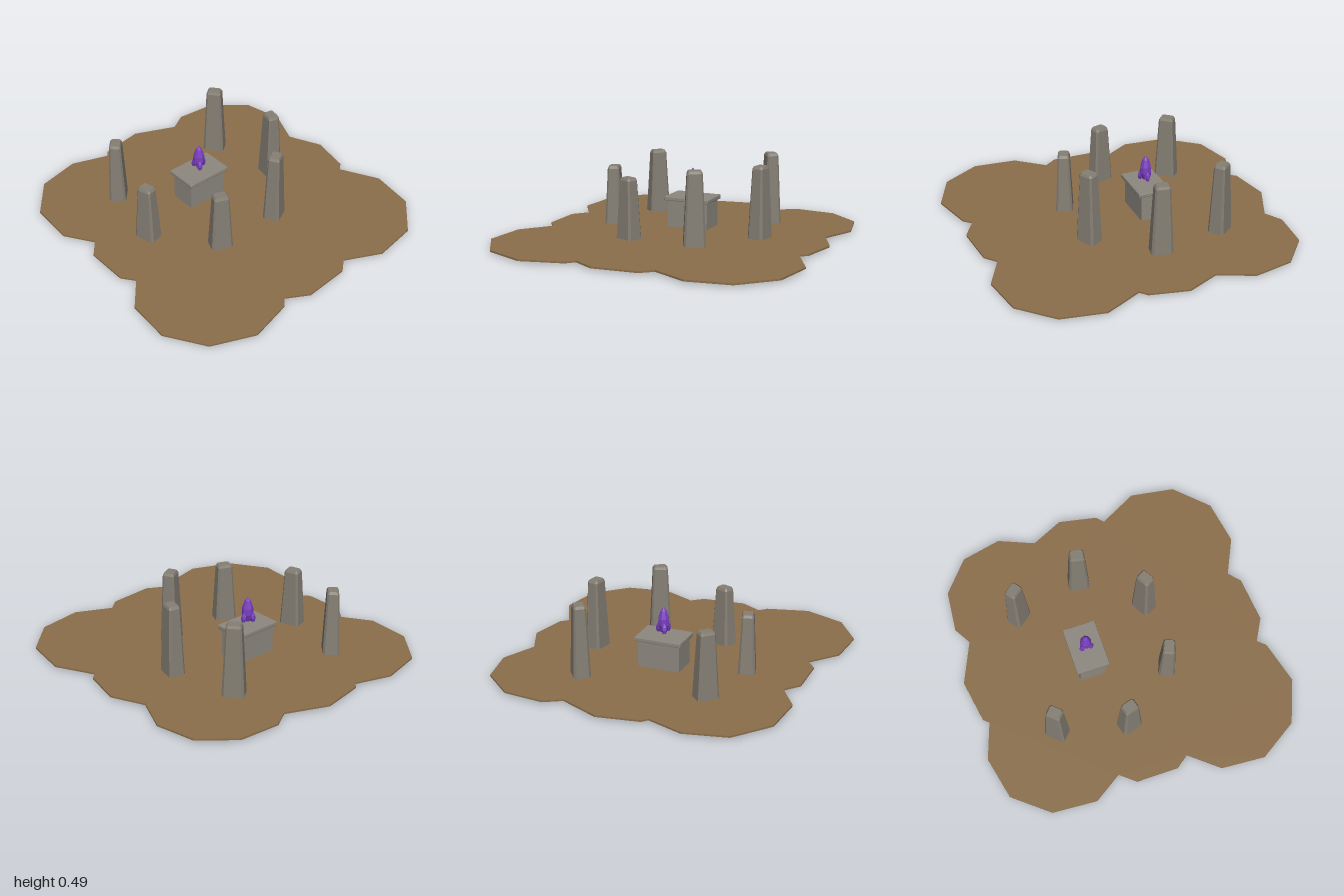
import * as THREE from 'three';

const mat = (name, color) => Object.assign(new THREE.MeshStandardMaterial({ color }), { name });

// Faceted copy of a geometry
function faceted(geometry) {
  const g = geometry.index ? geometry.toNonIndexed() : geometry;
  g.computeVertexNormals();
  return g;
}

// Tapered block with chamfered corners; levels = [y, scale] from bottom to top
function standingStone(length, width, chamfer, levels) {
  const rows = levels.length - 1;
  const g = new THREE.CylinderGeometry(1, 1, 1, 8, rows, false, Math.PI / 8);
  const p = g.attributes.position;
  for (let i = 0; i < p.count; i++) {
    const x = p.getX(i), z = p.getZ(i);
    const [y, s] = levels[Math.round((p.getY(i) + 0.5) * rows)];
    const centre = Math.hypot(x, z) < 0.1;
    const onEnd = Math.abs(x) > Math.abs(z);
    const hx = length / 2 - (onEnd ? 0 : chamfer);
    const hz = width / 2 - (onEnd ? chamfer : 0);
    p.setXYZ(i, centre ? 0 : Math.sign(x) * hx * s, y, centre ? 0 : Math.sign(z) * hz * s);
  }
  return faceted(g);
}

// Pointed crystal turned from a short profile
function crystalGeometry(radius, height, sides) {
  const profile = [[0, 0], [0.55, 0.02], [1, 0.3], [0.95, 0.55], [0.5, 0.85], [0, 1]];
  return faceted(new THREE.LatheGeometry(
    profile.map(([r, y]) => new THREE.Vector2(r * radius, y * height)), sides));
}

export function createModel() {
  const model = new THREE.Group();
  model.name = 'stoneCircle';
  const earth = mat('earth brown', 0x8b6f4b);
  const stone = mat('weathered stone', 0x857f74);
  const altarStone = mat('altar stone', 0x8d8980);
  const purple = mat('crystal purple', 0x7a3fc0);

  const add = (parent, name, geometry, material, x = 0, y = 0, z = 0) => {
    const mesh = new THREE.Mesh(geometry, material);
    mesh.name = name;
    mesh.position.set(x, y, z);
    parent.add(mesh);
    return mesh;
  };

  // Ground: thin slab with a scalloped outline, points as (x, z)
  const outline = [
    [-0.72, -0.94], [-0.45, -1], [-0.22, -0.92], [-0.19, -0.955], [0.08, -1], [0.34, -0.885],
    [0.45, -0.95], [0.71, -0.925], [0.91, -0.755], [0.965, -0.5], [0.87, -0.275], [0.965, -0.07],
    [0.915, 0.175], [0.87, 0.215], [0.995, 0.455], [0.95, 0.735], [0.75, 0.935], [0.47, 0.98],
    [0.245, 0.87], [0.17, 0.935], [-0.12, 0.96], [-0.26, 0.88], [-0.305, 0.93], [-0.58, 1],
    [-0.845, 0.89], [-0.995, 0.65], [-0.975, 0.37], [-0.825, 0.19], [-0.885, 0.11],
    [-0.885, -0.16], [-0.805, -0.255], [-0.92, -0.435], [-0.9, -0.72],
  ];
  const shape = new THREE.Shape(outline.map(([x, z]) => new THREE.Vector2(x, -z)));
  const ground = new THREE.ExtrudeGeometry(shape, { depth: 0.011, bevelEnabled: false });
  ground.rotateX(-Math.PI / 2);
  add(model, 'ground', ground, earth, 0, 0.011, 0);

  // Standing stones: x, z, height, direction of the long side (x, z)
  const stones = [
    [-0.415, -0.53, 0.44, 0.68, -0.73],
    [0.405, -0.53, 0.48, 0.61, 0.79],
    [-0.515, -0.085, 0.40, 0.28, 0.96],
    [0.505, -0.085, 0.475, -0.19, 0.98],
    [-0.23, 0.27, 0.405, 0.92, 0.38],
    [0.218, 0.27, 0.485, 0.88, -0.47],
  ];
  const ring = new THREE.Group();
  ring.name = 'standingStones';
  model.add(ring);
  for (const [x, z, h, dx, dz] of stones) {
    const g = standingStone(0.138, 0.108, 0.014,
      [[0, 0.85], [0.016, 1], [h - 0.016, 0.69], [h, 0.56]]);
    add(ring, 'standingStone', g, stone, x, 0, z).rotation.y = Math.atan2(-dz, dx);
  }

  // Altar: block under a wider slab
  const altar = new THREE.Group();
  altar.name = 'altar';
  altar.position.set(-0.007, 0, -0.2);
  model.add(altar);
  add(altar, 'altarBlock', new THREE.BoxGeometry(0.274, 0.19, 0.17), altarStone, 0, 0.104, 0);
  add(altar, 'altarSlab', standingStone(0.306, 0.212, 0.004,
    [[0.196, 0.985], [0.2, 1], [0.218, 1], [0.222, 0.985]]), altarStone);

  // Floating crystal with three small shards leaning against it
  const crystal = new THREE.Group();
  crystal.name = 'crystalCluster';
  crystal.position.y = 0.24;
  altar.add(crystal);
  add(crystal, 'mainCrystal', crystalGeometry(0.037, 0.165, 8), purple);
  const shardGeometry = crystalGeometry(0.018, 0.075, 6);
  for (let i = 0; i < 3; i++) {
    const arm = new THREE.Group();
    arm.name = 'shardArm';
    arm.rotation.y = i * Math.PI * 2 / 3;
    crystal.add(arm);
    add(arm, 'shard', shardGeometry, purple, 0.037, 0, 0).rotation.z = 0.18;
  }
  return model;
}
